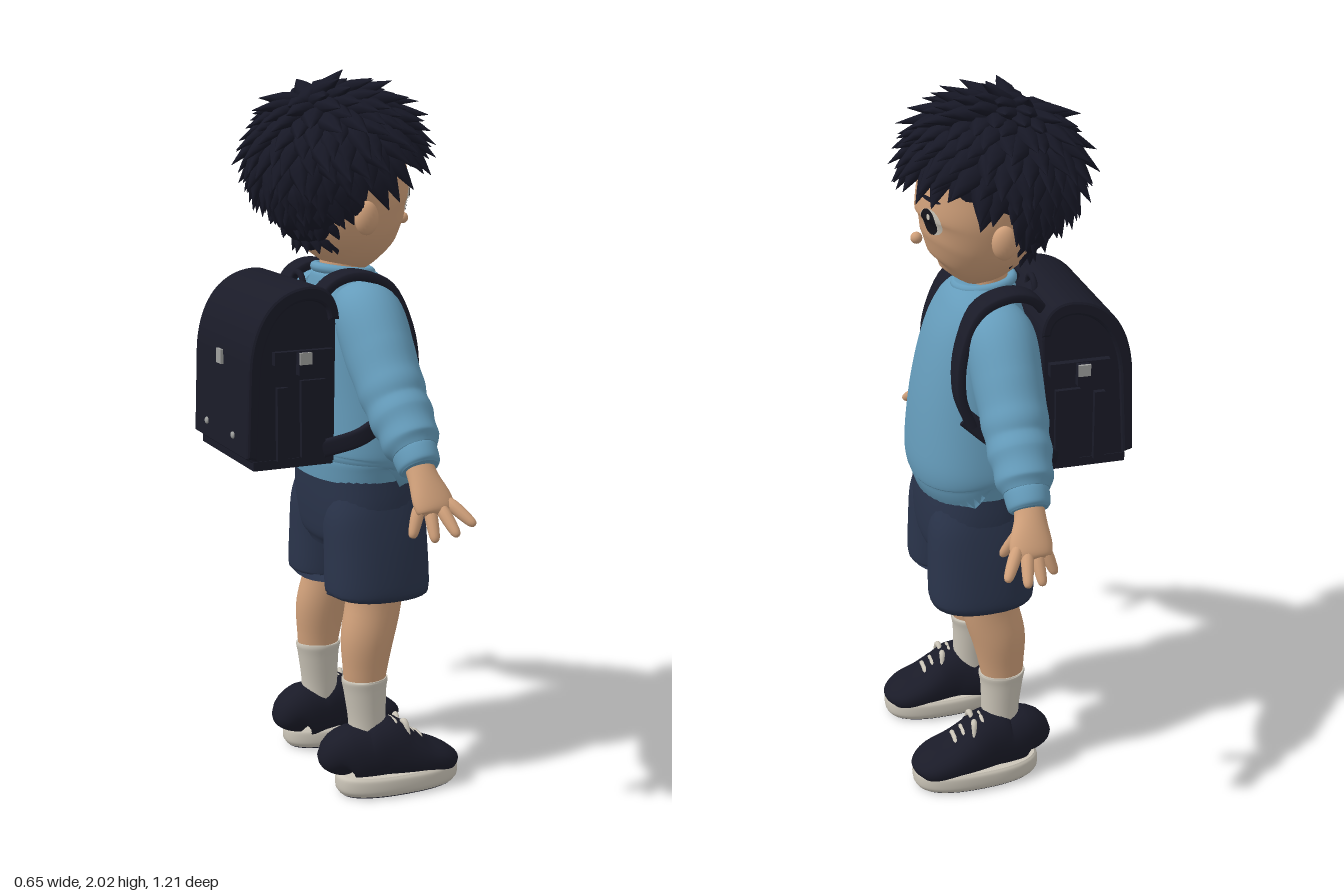
import * as THREE from 'three';
import { mergeGeometries } from 'three/addons/utils/BufferGeometryUtils.js';

const flat = (name, color) => Object.assign(new THREE.MeshStandardMaterial({ color }), { name });
const skin = flat('skin', 0xd0a07a), hairDark = flat('hair', 0x171826), wool = flat('sweater blue', 0x659cbb);
const navy = flat('shorts navy', 0x2a344b), leather = flat('pack leather', 0x1a1b28), cream = flat('cream', 0xcbc5b8);
const metal = flat('metal', 0x9fa09e), eyeBlack = flat('eye black', 0x15151c);

// Loft of superellipse rings along a curve; each point is [x, y, z, radiusA, radiusB, exponent]
const X = new THREE.Vector3(1, 0, 0), Y = new THREE.Vector3(0, 1, 0), Z = new THREE.Vector3(0, 0, 1);
function sweep(pts, { ref = Z, seg = pts.length * 4, sides = 28 } = {}) {
  const spline = (f) => new THREE.CatmullRomCurve3(pts.map(f), false, 'catmullrom', 0.5);
  const path = spline((p) => new THREE.Vector3(p[0], p[1], p[2]));
  const size = spline((p) => new THREE.Vector3(p[3], p[4] ?? p[3], p[5] ?? 2));
  const pos = [], idx = [], pw = (v, n) => Math.sign(v) * Math.abs(v) ** (2 / n);
  for (let i = 0; i <= seg; i++) {
    const c = path.getPoint(i / seg), s = size.getPoint(i / seg), t = path.getTangent(i / seg);
    const a = t.clone().cross(ref).normalize(), b = a.clone().cross(t);
    for (let j = 0; j < sides; j++) {
      const f = (j / sides) * Math.PI * 2;
      const p = c.clone().addScaledVector(a, s.x * pw(Math.cos(f), s.z)).addScaledVector(b, s.y * pw(Math.sin(f), s.z));
      pos.push(p.x, p.y, p.z);
      if (i < seg) {
        const k = i * sides + j, m = i * sides + ((j + 1) % sides);
        idx.push(k, k + sides, m, m, k + sides, m + sides);
      }
    }
  }
  // end caps with their own vertices so the rims stay crisp
  for (const i of [0, seg]) {
    const base = pos.length / 3, c = path.getPoint(i / seg);
    pos.push(...pos.slice(i * sides * 3, (i + 1) * sides * 3), c.x, c.y, c.z);
    for (let j = 0; j < sides; j++) {
      const k = base + j, m = base + ((j + 1) % sides);
      idx.push(base + sides, ...(i ? [m, k] : [k, m]));
    }
  }
  const g = new THREE.BufferGeometry();
  g.setAttribute('position', new THREE.Float32BufferAttribute(pos, 3));
  g.setIndex(idx);
  g.computeVertexNormals();
  return g;
}

export function createModel() {
  const body = new THREE.Group();
  const add = (name, geo, mat, x = 0, y = 0, z = 0) => {
    const m = new THREE.Mesh(geo, mat);
    m.name = name;
    m.position.set(x, y, z);
    body.add(m);
    return m;
  };
  const ball = (rx, ry, rz) => new THREE.SphereGeometry(1, 20, 14).scale(rx, ry, rz);
  const box = (w, h, d) => new THREE.BoxGeometry(w, h, d);

  // Torso, neck and shorts
  add('sweater', sweep([[0, 0.9, 0.088, 0.203, 0.158, 2.3], [0, 0.945, 0.09, 0.212, 0.165, 2.3], [0, 0.955, 0.092, 0.222, 0.172, 2.3],
    [0, 1.0, 0.095, 0.226, 0.176, 2.3], [0, 1.15, 0.09, 0.204, 0.165, 2.3], [0, 1.3, 0.076, 0.184, 0.145, 2.3],
    [0, 1.4, 0.06, 0.17, 0.118, 2.2], [0, 1.455, 0.05, 0.125, 0.092], [0, 1.48, 0.048, 0.088, 0.078]], { seg: 48, sides: 48 }), wool);
  add('collar', new THREE.TorusGeometry(0.078, 0.014, 10, 32).rotateX(Math.PI / 2 + 0.12), wool, 0, 1.478, 0.05);
  add('neck', sweep([[0, 1.43, 0.045, 0.065], [0, 1.5, 0.045, 0.06], [0, 1.58, 0.055, 0.065]]), skin);
  add('shortsHips', sweep([[0, 0.7, 0.097, 0.12, 0.13, 2.4], [0, 0.74, 0.097, 0.205, 0.146, 2.5], [0, 0.83, 0.094, 0.212, 0.155, 2.5],
    [0, 0.92, 0.09, 0.203, 0.157, 2.4]], { sides: 40 }), navy);

  // Head with a slightly forward muzzle
  const head = add('head', sweep([[0, 1.505, 0.14, 0.03, 0.04], [0, 1.525, 0.125, 0.085, 0.09], [0, 1.575, 0.097, 0.133, 0.138],
    [0, 1.64, 0.07, 0.16, 0.167], [0, 1.72, 0.058, 0.168, 0.172], [0, 1.82, 0.045, 0.155, 0.165], [0, 1.9, 0.04, 0.08, 0.09]], { seg: 40, sides: 48 }), skin);
  add('nose', ball(0.016, 0.016, 0.016), skin, 0, 1.612, 0.234);

  // Painted face patches laid onto the head surface
  head.updateMatrixWorld();
  const ray = new THREE.Raycaster();
  const facePatch = (name, mat, cx, cy, rx, ry, lift, roll = 0) => {
    const g = new THREE.RingGeometry(0.001, 1, 24, 4).scale(rx, ry, 1).rotateZ(roll).translate(cx, cy, 0);
    const p = g.attributes.position;
    for (let i = 0; i < p.count; i++) {
      ray.set(new THREE.Vector3(p.getX(i), p.getY(i), 1), new THREE.Vector3(0, 0, -1));
      const hit = ray.intersectObject(head)[0];
      p.setZ(i, (hit ? hit.point.z : 0.15) + lift);
    }
    g.computeVertexNormals();
    add(name, g, mat);
  };

  // Hair: cap, nape and a seeded coat of curved spikes flowing from the crown
  const cap = new THREE.Vector3(0, 1.79, 0.022), capR = new THREE.Vector3(0.19, 0.17, 0.2);
  add('hairCap', ball(capR.x, capR.y, capR.z), hairDark, cap.x, cap.y, cap.z);
  add('hairNape', sweep([[0, 1.53, 0, 0.04, 0.025], [0, 1.59, -0.025, 0.105, 0.075], [0, 1.67, -0.045, 0.15, 0.12],
    [0, 1.76, -0.04, 0.17, 0.135]]), hairDark);
  let seed = 7;
  const rnd = () => (seed = (seed * 16807) % 2147483647) / 2147483647;
  const spikes = [], crown = new THREE.Vector3(0, 1, -0.3).normalize();
  const spike = (p, n, len, wide) => {
    const t = n.clone().multiplyScalar(n.dot(crown)).sub(crown);
    if (t.length() < 0.1) t.set(0.3, 0, 1);
    t.normalize().addScaledVector(n.clone().cross(t), (rnd() - 0.5) * 0.7).normalize();
    const at = (a, b) => p.clone().addScaledVector(t, len * a).addScaledVector(n, len * b);
    const row = (v, w) => [v.x, v.y, v.z, w, w * 0.6];
    spikes.push(sweep([row(at(-0.25, -0.15), wide * 0.7), row(at(0.2, 0.17), wide), row(at(0.85, 0.4 + rnd() * 0.15), 0.001)],
      { ref: n, seg: 5, sides: 6 }));
  };
  const N = 330;
  for (let i = 0; i < N; i++) {
    const h = 1 - (2 * (i + 0.5)) / N, r = Math.sqrt(1 - h * h), f = i * 2.39996;
    const u = new THREE.Vector3(r * Math.cos(f), h, r * Math.sin(f));
    const p = u.clone().multiply(capR).add(cap), n = u.clone().divide(capR).normalize();
    const low = u.z > 0.35 ? 1.80 : u.z > -0.1 ? 1.755 : 1.69;
    if (p.y > low) spike(p, n, 0.085 + rnd() * 0.04, 0.032);
  }
  for (let row = 0; row < 4; row++) for (let k = 0; k < 9; k++) {
    const a = (k / 8 - 0.5) * 2.8, w = 0.155 - row * 0.025;
    const n = new THREE.Vector3(Math.sin(a), -0.25, -Math.cos(a)).normalize();
    spike(new THREE.Vector3(Math.sin(a) * w, 1.71 - row * 0.04, -0.045 + row * 0.012 - Math.cos(a) * (0.13 - row * 0.022)), n, 0.065, 0.026);
  }
  add('hairSpikes', mergeGeometries(spikes), hairDark);

  // Mirrored parts: face, arms, legs, shoes and straps
  for (const s of [1, -1]) {
    const side = s > 0 ? 'left' : 'right';
    const part = (name, pts, mat, opt) => add(side + name, sweep(pts.map(([x, ...rest]) => [x * s, ...rest]), opt), mat);

    facePatch(side + 'EyeWhite', cream, 0.073 * s, 1.677, 0.036, 0.036, 0.002);
    facePatch(side + 'Eye', eyeBlack, 0.07 * s, 1.677, 0.026, 0.036, 0.004);
    facePatch(side + 'EyeGlint', cream, 0.07 * s + 0.008, 1.692, 0.006, 0.008, 0.006);
    facePatch(side + 'Brow', hairDark, 0.074 * s, 1.738, 0.034, 0.006, 0.003, -0.12 * s);
    add(side + 'Ear', ball(0.024, 0.046, 0.034), skin, 0.172 * s, 1.635, 0.04);

    // sleeve with soft folds, then cuff
    part('Sleeve', [[0.1, 1.405, 0.05, 0.065, 0.075], [0.17, 1.365, 0.05, 0.095, 0.095], [0.235, 1.28, 0.05, 0.104, 0.094],
      [0.285, 1.22, 0.05, 0.096, 0.09], [0.315, 1.185, 0.051, 0.095, 0.09], [0.34, 1.155, 0.052, 0.086, 0.084], [0.37, 1.125, 0.053, 0.088, 0.086],
      [0.395, 1.1, 0.054, 0.079, 0.078], [0.42, 1.07, 0.055, 0.079, 0.077], [0.44, 1.05, 0.056, 0.06, 0.062]], wool, { seg: 60 });
    part('Cuff', [[0.425, 1.062, 0.056, 0.056, 0.056], [0.437, 1.048, 0.056, 0.063, 0.06], [0.462, 1.02, 0.056, 0.06, 0.057],
      [0.47, 1.011, 0.056, 0.05, 0.05]], wool);
    part('Palm', [[0.44, 1.045, 0.056, 0.034, 0.04], [0.48, 0.995, 0.058, 0.031, 0.042], [0.515, 0.945, 0.066, 0.028, 0.056],
      [0.535, 0.915, 0.07, 0.022, 0.054], [0.54, 0.905, 0.07, 0.008, 0.035]], skin);
    // knuckle and tip of each finger, thumb last
    const fingers = [[0.535, 0.93, 0.11, 0.593, 0.883, 0.15], [0.54, 0.92, 0.083, 0.6, 0.862, 0.098], [0.53, 0.915, 0.055, 0.572, 0.845, 0.05],
      [0.515, 0.92, 0.03, 0.53, 0.85, 0.005], [0.49, 0.965, 0.085, 0.452, 0.88, 0.125]];
    fingers.forEach(([ax, ay, az, bx, by, bz], i) => {
      const mid = (k) => [ax + (bx - ax) * k, ay + (by - ay) * k, az + (bz - az) * k];
      part(i < 4 ? 'Finger' + (i + 1) : 'Thumb', [[...mid(-0.2), 0.012], [...mid(0.2), 0.017], [...mid(0.8), 0.014], [...mid(1), 0.009],
        [...mid(1.05), 0.002]], skin, { sides: 12 });
    });

    part('ShortsLeg', [[0.131, 0.582, 0.098, 0.104, 0.142, 2.4], [0.131, 0.592, 0.098, 0.112, 0.15, 2.4], [0.124, 0.7, 0.097, 0.109, 0.149, 2.4],
      [0.115, 0.8, 0.095, 0.102, 0.146, 2.4], [0.11, 0.88, 0.094, 0.09, 0.13]], navy);
    part('Leg', [[0.163, 0.3, 0.045, 0.05, 0.058], [0.163, 0.36, 0.047, 0.054, 0.066], [0.16, 0.45, 0.055, 0.064, 0.078],
      [0.15, 0.55, 0.078, 0.069, 0.082], [0.145, 0.66, 0.085, 0.075, 0.088]], skin);
    part('Sock', [[0.17, 0.12, 0.05, 0.05, 0.056], [0.167, 0.2, 0.052, 0.049, 0.055], [0.164, 0.29, 0.047, 0.054, 0.062],
      [0.163, 0.325, 0.046, 0.058, 0.068], [0.163, 0.332, 0.046, 0.055, 0.065]], cream);

    // shoe: toe wider than the heel
    const taper = (g) => {
      const p = g.attributes.position, cx = 0.193 * s;
      for (let i = 0; i < p.count; i++) p.setX(i, cx + (p.getX(i) - cx) * (0.9 + 0.35 * Math.min(p.getZ(i) + 0.02, 0.3)));
      g.computeVertexNormals();
    };
    taper(part('ShoeSole', [[0.193, 0.004, 0.135, 0.086, 0.178, 2.4], [0.193, 0.02, 0.135, 0.095, 0.187, 2.4], [0.193, 0.05, 0.135, 0.095, 0.187, 2.4],
      [0.193, 0.062, 0.135, 0.088, 0.179, 2.4]], cream, { sides: 40 }).geometry);
    taper(part('ShoeTread', [[0.193, 0, 0.135, 0.082, 0.173, 2.4], [0.193, 0.007, 0.135, 0.082, 0.173, 2.4]], leather, { sides: 40 }).geometry);
    const top = [[-0.042, 0.1, 0.035], [-0.033, 0.17, 0.062], [0.0, 0.195, 0.073], [0.05, 0.19, 0.076], [0.095, 0.212, 0.076],
      [0.14, 0.18, 0.08], [0.2, 0.14, 0.086], [0.26, 0.112, 0.083], [0.297, 0.088, 0.062], [0.312, 0.066, 0.025]];
    part('ShoeUpper', top.map(([z, h, w]) => [0.193 - Math.max(0, 0.12 - z) * 0.15, (h + 0.025) / 2, z, w, (h - 0.025) / 2, 2.3]), leather, { ref: Y, seg: 36 });
    [[0.118, 0.197], [0.145, 0.178], [0.172, 0.16], [0.198, 0.143]].forEach(([z, y], i) =>
      part('Lace' + (i + 1), [[0.147, y - 0.022, z - 0.005, 0.008], [0.17, y, z, 0.008], [0.193, y + 0.003, z, 0.008], [0.216, y, z, 0.008],
        [0.24, y - 0.022, z - 0.005, 0.008]], cream, { sides: 8 }));
    for (const k of [-1, 1]) part('BowLoop' + (k > 0 ? 'Outer' : 'Inner'), [[0.193, 0.185, 0.14, 0.005], [0.193 + k * 0.03, 0.2, 0.145, 0.009],
      [0.193 + k * 0.05, 0.165, 0.15, 0.005]], cream, { sides: 8 });

    // shoulder straps of the pack
    part('ShoulderStrap', [[0.115, 1.41, -0.09, 0.014, 0.036, 4], [0.13, 1.465, -0.04, 0.015, 0.038, 4], [0.142, 1.48, 0.03, 0.015, 0.041, 4],
      [0.15, 1.445, 0.11, 0.015, 0.042, 4], [0.165, 1.34, 0.158, 0.015, 0.04, 4], [0.184, 1.23, 0.168, 0.015, 0.036, 4],
      [0.2, 1.14, 0.14, 0.014, 0.03, 4]], leather, { ref: X, sides: 20 });
    part('LowerStrap', [[0.2, 1.165, 0.155, 0.012, 0.024, 4], [0.22, 1.1, 0.08, 0.012, 0.024, 4], [0.224, 1.05, 0, 0.012, 0.024, 4],
      [0.195, 1.02, -0.1, 0.012, 0.024, 4]], leather, { ref: Y, sides: 20 });

    // side fittings of the pack
    add(side + 'PackSideRib', box(0.02, 0.2, 0.03), leather, 0.198 * s, 1.1, -0.22);
    add(side + 'PackSidePanel', box(0.02, 0.21, 0.07), leather, 0.196 * s, 1.11, -0.13);
    add(side + 'PackSideStrap', box(0.02, 0.035, 0.17), leather, 0.205 * s, 1.28, -0.16);
    add(side + 'PackHook', box(0.022, 0.06, 0.036), leather, 0.222 * s, 1.265, -0.165);
    add(side + 'PackBuckle', box(0.008, 0.032, 0.034), metal, 0.234 * s, 1.28, -0.165);
    add(side + 'PackRivet', ball(0.01, 0.01, 0.006), metal, 0.1 * s, 1.06, -0.322);
  }

  // School pack: body and wrap-over flap as side profiles drawn in depth and height
  const slab = (name, draw, width) => {
    const shape = new THREE.Shape();
    draw(shape);
    const g = new THREE.ExtrudeGeometry(shape, { depth: width - 0.02, bevelSize: 0.008, bevelThickness: 0.01, bevelSegments: 2, curveSegments: 16 });
    add(name, g.translate(0, 0, 0.01 - width / 2).rotateY(-Math.PI / 2), leather);
  };
  slab('packBody', (p) => p.moveTo(-0.07, 0.99).lineTo(-0.065, 1.36).quadraticCurveTo(-0.07, 1.43, -0.14, 1.435)
    .bezierCurveTo(-0.23, 1.43, -0.28, 1.36, -0.29, 1.25).lineTo(-0.298, 1.02).quadraticCurveTo(-0.298, 0.99, -0.26, 0.985), 0.385);
  slab('packFlap', (p) => p.moveTo(-0.06, 1.38).quadraticCurveTo(-0.07, 1.46, -0.14, 1.46).bezierCurveTo(-0.25, 1.455, -0.3, 1.36, -0.306, 1.25)
    .lineTo(-0.314, 1.02).lineTo(-0.298, 1.015).lineTo(-0.285, 1.25).bezierCurveTo(-0.275, 1.36, -0.22, 1.435, -0.14, 1.435)
    .quadraticCurveTo(-0.08, 1.43, -0.075, 1.38), 0.41);
  add('packBase', box(0.39, 0.025, 0.23), leather, 0, 0.99, -0.185);
  add('packHandle', new THREE.TorusGeometry(0.035, 0.009, 8, 20, Math.PI), leather, 0, 1.44, -0.085);
  add('packClasp', box(0.035, 0.04, 0.008), metal, 0, 1.26, -0.319);

  // Turn the figure to look along +x
  body.name = 'child';
  body.rotation.y = Math.PI / 2;
  const model = new THREE.Group();
  model.name = 'childWithSchoolPack';
  model.add(body);
  return model;
}
